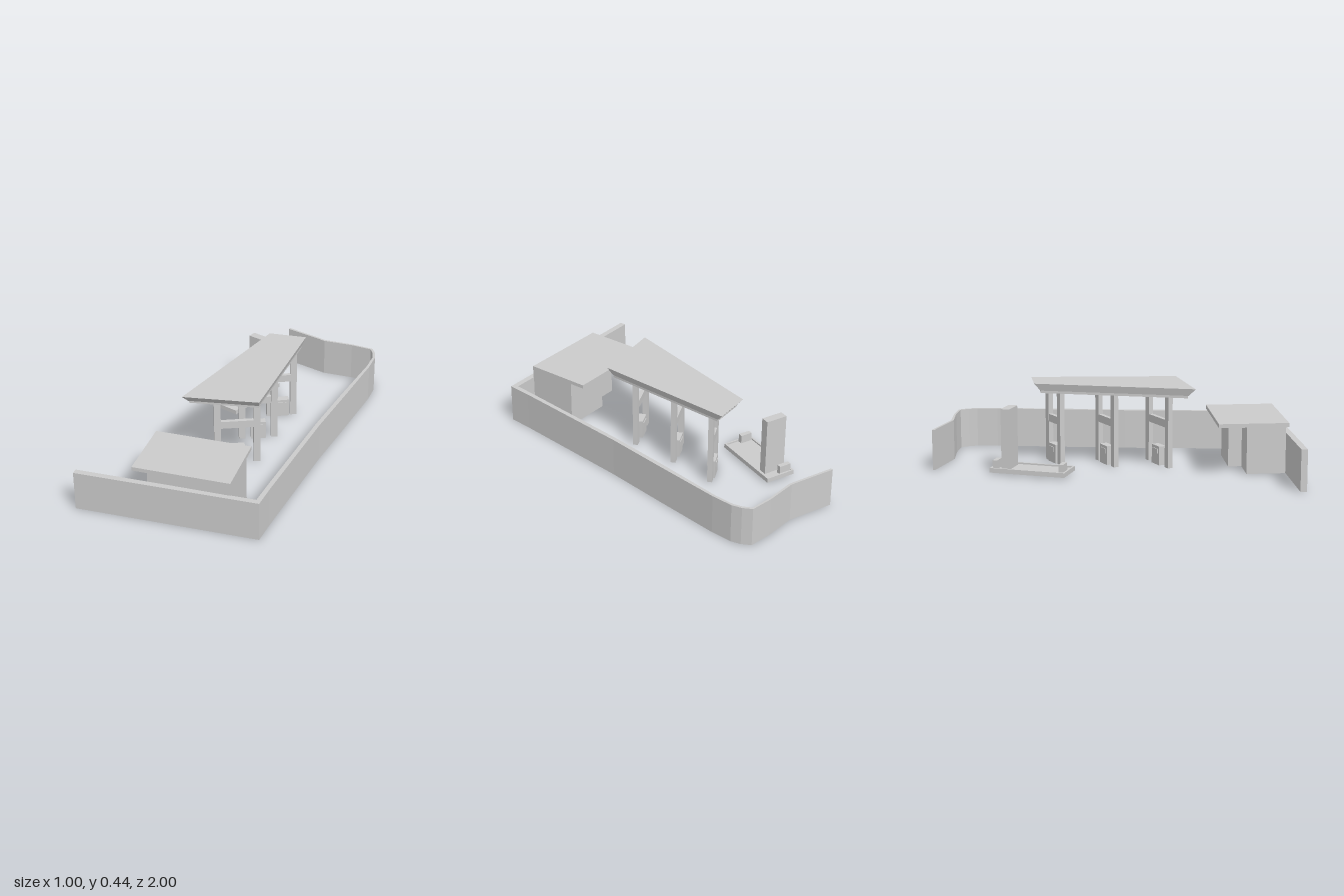
import * as THREE from 'three';

const material = new THREE.MeshStandardMaterial({ color: 0xcccccc, flatShading: true });

function add(parent, name, geometry) {
  const mesh = new THREE.Mesh(geometry, material);
  mesh.name = name;
  parent.add(mesh);
  return mesh;
}

// Upright prism over a ground plan of [x, z] corners
function prism(plan, y0, y1) {
  const shape = new THREE.Shape(plan.map(([x, z]) => new THREE.Vector2(x, -z)));
  const g = new THREE.ExtrudeGeometry(shape, { depth: y1 - y0, bevelEnabled: false });
  return g.rotateX(-Math.PI / 2).translate(0, y0, 0);
}

// Box given by its limits
function box(x0, x1, y0, y1, z0, z1) {
  return new THREE.BoxGeometry(x1 - x0, y1 - y0, z1 - z0)
    .translate((x0 + x1) / 2, (y0 + y1) / 2, (z0 + z1) / 2);
}

export function createModel() {
  const model = new THREE.Group();
  model.name = 'fuelStation';

  // Boundary wall, open on the right side
  const outer = [[-0.395, 1], [0.497, 0.65], [0.46, 0.52], [0.295, -0.12], [0.22, -0.46],
    [0.14, -0.81], [0.105, -0.92], [0.075, -0.965], [0.035, -1], [-0.085, -0.975],
    [-0.245, -0.923], [-0.497, -0.92]];
  const inner = [[-0.407, 0.97], [0.465, 0.63], [0.435, 0.52], [0.272, -0.12], [0.197, -0.46],
    [0.125, -0.81], [0.092, -0.915], [0.065, -0.955], [0.03, -0.988], [-0.085, -0.964],
    [-0.24, -0.911], [-0.497, -0.907]];
  add(model, 'boundaryWall', prism([...outer, ...inner.reverse()], 0, 0.21));

  // Canopy: flared fascia over a narrower soffit, both shrunk about the same centre
  const canopy = new THREE.Group();
  canopy.name = 'canopy';
  model.add(canopy);
  const roofPlan = [[-0.2, 0.395], [0.145, 0.2], [-0.095, -0.525], [-0.28, -0.44]];
  const shrink = (x, z, s) => [-0.108 + (x + 0.108) * s, -0.09 + (z + 0.09) * s];
  const fascia = prism(roofPlan, 0.4, 0.437);
  const p = fascia.attributes.position;
  for (let i = 0; i < p.count; i++) {
    if (p.getY(i) > 0.42) continue;
    const [x, z] = shrink(p.getX(i), p.getZ(i), 0.92);
    p.setXYZ(i, x, p.getY(i), z);
  }
  fascia.computeVertexNormals();
  add(canopy, 'canopyFascia', fascia);
  add(canopy, 'canopySoffit', prism(roofPlan.map(([x, z]) => shrink(x, z, 0.91)), 0.387, 0.4));

  // Diagonal post frames, each with a crossbar and a pump: [left x, z, right x, z]
  const frames = [[-0.107, 0.23, 0.04, 0.085], [-0.163, -0.045, -0.04, -0.168],
    [-0.193, -0.328, -0.103, -0.423]];
  for (const [x0, z0, x1, z1] of frames) {
    const frame = new THREE.Group();
    frame.name = 'pumpFrame';
    frame.position.set((x0 + x1) / 2, 0, (z0 + z1) / 2);
    frame.rotation.y = Math.atan2(z0 - z1, x1 - x0);
    model.add(frame);
    const half = Math.hypot(x1 - x0, z1 - z0) / 2;
    for (const s of [-1, 1]) {
      add(frame, 'post', new THREE.BoxGeometry(0.035, 0.39, 0.026).translate(s * half, 0.195, 0));
    }
    add(frame, 'crossbar', box(-half, half, 0.21, 0.25, -0.011, 0.011));
    add(frame, 'pump', box(-0.04, 0.04, 0, 0.1, -0.02, 0.02));
    add(frame, 'pumpPanel', box(-0.025, 0.025, 0.06, 0.085, -0.024, 0.024));
  }

  // Kiosk, laid out along its front edge (u) and towards the back (v)
  const kiosk = new THREE.Group();
  kiosk.name = 'kiosk';
  model.add(kiosk);
  const at = (u, v) => [-0.13 + 0.935 * u - 0.37 * v, 0.86 - 0.354 * u - 0.93 * v];
  const corners = (u0, u1, v0, v1) => [at(u0, v0), at(u1, v0), at(u1, v1), at(u0, v1)];
  add(kiosk, 'kioskRoof', prism(corners(0, 0.508, 0, 0.355), 0.258, 0.278));
  add(kiosk, 'kioskBody', prism([at(0.08, 0), at(0.508, 0), at(0.508, 0.27), at(0.25, 0.27),
    at(0.25, 0.2), at(0.08, 0.2)], 0, 0.258));

  // Sign island with a raised kerb
  const island = new THREE.Group();
  island.name = 'signIsland';
  model.add(island);
  add(island, 'islandBase', box(-0.5, -0.335, 0.008, 0.024, -0.605, -0.205));
  for (const [a, b] of [[-0.5, -0.49], [-0.345, -0.335]]) {
    add(island, 'kerbSide', box(a, b, 0.024, 0.032, -0.605, -0.205));
  }
  for (const [a, b] of [[-0.605, -0.595], [-0.215, -0.205]]) {
    add(island, 'kerbEnd', box(-0.49, -0.345, 0.024, 0.032, a, b));
  }
  for (const z of [-0.582, -0.228]) {
    add(island, 'planter', box(-0.485, -0.42, 0.024, 0.07, z - 0.012, z + 0.012));
  }
  add(island, 'signPanel', box(-0.475, -0.357, 0.024, 0.335, -0.55, -0.505));

  return model;
}
